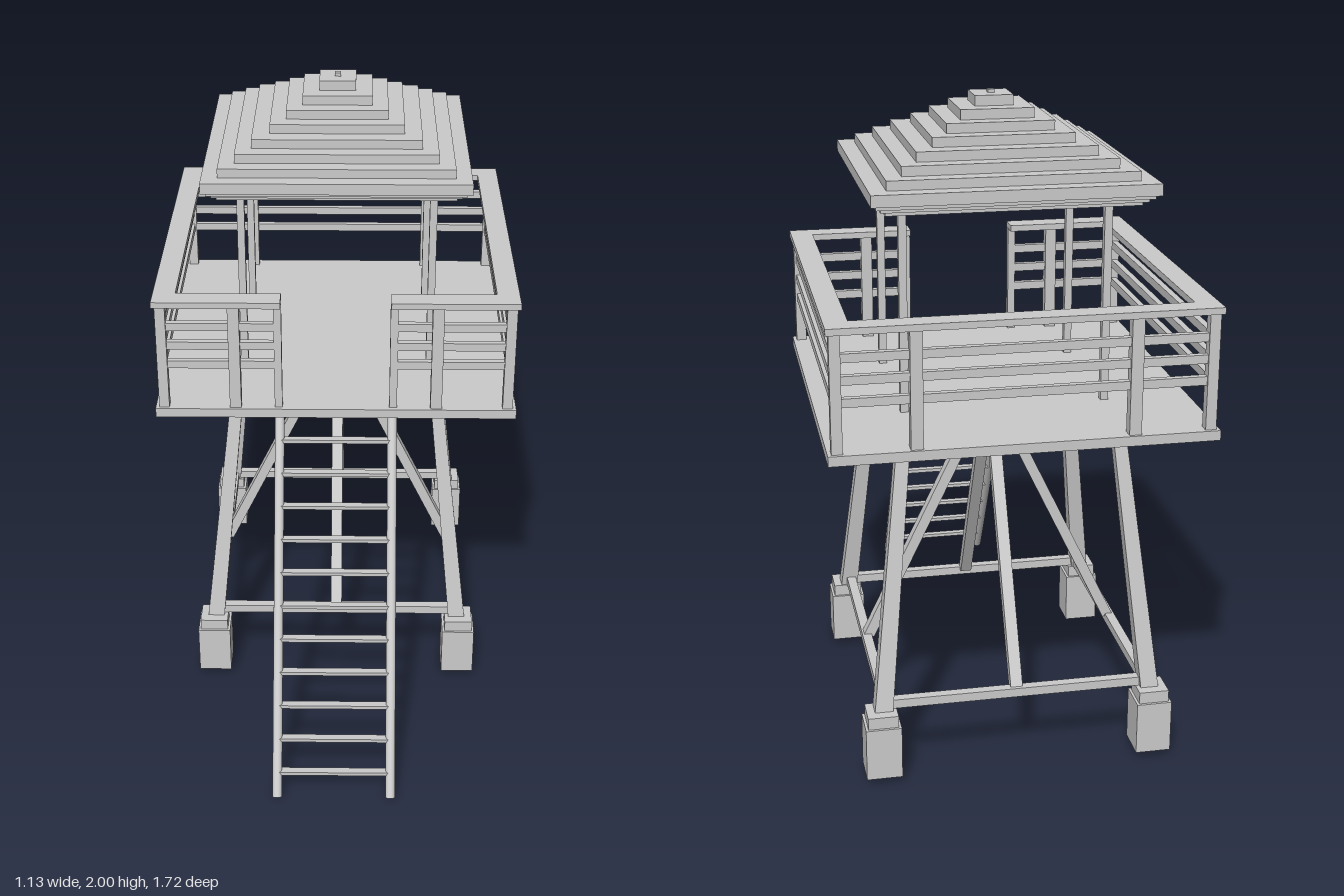
import * as THREE from 'three';

const material = new THREE.MeshStandardMaterial({ color: 0xcccccc, flatShading: true });
const smooth = new THREE.MeshStandardMaterial({ color: 0xcccccc });
const V = (x, y, z) => new THREE.Vector3(x, y, z);

function box(parent, name, x0, x1, y0, y1, z0, z1) {
  const mesh = new THREE.Mesh(new THREE.BoxGeometry(x1 - x0, y1 - y0, z1 - z0), material);
  mesh.position.set((x0 + x1) / 2, (y0 + y1) / 2, (z0 + z1) / 2);
  mesh.name = name;
  parent.add(mesh);
}

// Square slab centred on the tower axis
const slab = (parent, name, half, y0, y1) => box(parent, name, -half, half, y0, y1, -half, half);

// Upright square post
const post = (parent, name, x, z, size, y0, y1) =>
  box(parent, name, x - size / 2, x + size / 2, y0, y1, z - size / 2, z + size / 2);

// Square timber with level ends, leaning from a to b, optionally tapered
function leaningTimber(parent, name, a, b, sizeA, sizeB) {
  const geometry = new THREE.BoxGeometry(1, 1, 1);
  const p = geometry.attributes.position;
  for (let i = 0; i < p.count; i++) {
    const t = p.getY(i) + 0.5;
    const c = a.clone().lerp(b, t);
    const s = sizeA + (sizeB - sizeA) * t;
    p.setXYZ(i, c.x + p.getX(i) * s, c.y, c.z + p.getZ(i) * s);
  }
  geometry.computeVertexNormals();
  const mesh = new THREE.Mesh(geometry, material);
  mesh.name = name;
  parent.add(mesh);
}

function group(parent, name) {
  const g = new THREE.Group();
  g.name = name;
  parent.add(g);
  return g;
}

export function createModel() {
  const model = new THREE.Group();
  model.name = 'watchtower';
  const tower = group(model, 'tower');
  tower.position.z = -0.29;

  // Footings, legs and roof posts at the four corners
  const base = group(tower, 'base');
  const roof = group(tower, 'roof');
  for (const sx of [-1, 1]) for (const sz of [-1, 1]) {
    const fx = sx * 0.418, fz = sz * 0.458;
    post(base, 'footing', fx, fz, 0.108, 0.02, 0.185);
    post(base, 'footingCap', fx, fz, 0.092, 0.185, 0.222);
    leaningTimber(base, 'leg', V(sx * 0.412, 0.22, sz * 0.445), V(sx * 0.325, 1.03, sz * 0.332), 0.055, 0.04);
    post(roof, 'roofPost', sx * 0.305, sz * 0.235, 0.024, 1.08, 1.73);
  }

  // Ground beams and braces rising from their middles to the deck centre
  for (const s of [-1, 1]) {
    const bx = s * 0.405, bz = s * 0.44;
    box(base, 'beam', -0.4, 0.4, 0.222, 0.25, bz - 0.015, bz + 0.015);
    box(base, 'beam', bx - 0.015, bx + 0.015, 0.222, 0.25, -0.435, 0.435);
    leaningTimber(base, 'brace', V(s * 0.4, 0.24, 0), V(s * 0.02, 1.03, 0), 0.037, 0.037);
    leaningTimber(base, 'brace', V(0, 0.24, s * 0.43), V(0, 1.03, s * 0.02), 0.037, 0.037);
  }

  // Deck with stepped underside
  const deck = group(tower, 'deck');
  slab(deck, 'deckFloor', 0.567, 1.06, 1.09);
  [[0.5, 1.05], [0.45, 1.04], [0.41, 1.03], [0.37, 1.02]].forEach(([half, y]) =>
    slab(deck, 'deckUnderside', half, y, y + 0.01));

  // Railing: sides and back are whole, the front leaves a gap for the ladder
  const railing = group(tower, 'railing');
  const bars = [1.225, 1.29, 1.355];
  for (const s of [-1, 1]) {
    const [h0, h1] = s < 0 ? [-0.565, -0.495] : [0.495, 0.565];
    const [b0, b1] = [s * 0.54 - 0.01, s * 0.54 + 0.01];
    box(railing, 'sideHandrail', h0, h1, 1.438, 1.458, -0.565, 0.565);
    const [f0, f1] = s < 0 ? [-0.495, -0.17] : [0.17, 0.495];
    box(railing, 'frontHandrail', f0, f1, 1.438, 1.458, 0.495, 0.565);
    for (const y of bars) {
      box(railing, 'sideBar', b0, b1, y, y + 0.026, -0.54, 0.54);
      box(railing, 'frontBar', Math.min(s * 0.18, s * 0.54), Math.max(s * 0.18, s * 0.54), y, y + 0.026, 0.53, 0.55);
    }
    for (const sz of [-1, 1]) {
      post(railing, 'cornerPost', s * 0.54, sz * 0.54, 0.032, 1.09, 1.44);
      post(railing, 'middlePost', s * 0.315, sz * 0.54, 0.036, 1.09, 1.44);
    }
    post(railing, 'gatePost', s * 0.18, 0.54, 0.024, 1.09, 1.44);
  }
  box(railing, 'backHandrail', -0.495, 0.495, 1.438, 1.458, -0.565, -0.495);
  for (const y of bars) box(railing, 'backBar', -0.54, 0.54, y, y + 0.026, -0.55, -0.53);

  // Stepped pyramid roof: [half width, bottom, top]
  [
    [0.37, 1.715, 1.727], [0.385, 1.727, 1.738], [0.4, 1.738, 1.75], [0.415, 1.75, 1.785],
    [0.365, 1.785, 1.813], [0.315, 1.813, 1.842], [0.265, 1.842, 1.871], [0.21, 1.871, 1.9],
    [0.16, 1.9, 1.929], [0.11, 1.929, 1.959], [0.058, 1.959, 1.99], [0.01, 1.99, 2],
  ].forEach(([half, y0, y1]) => slab(roof, 'roofTier', half, y0, y1));

  // Leaning ladder with round rails and flat rungs
  const ladder = group(model, 'ladder');
  const foot = V(0, 0.008, 0.847), head = V(0, 1.065, 0.237);
  const direction = head.clone().sub(foot);
  for (const s of [-1, 1]) {
    const rail = new THREE.Mesh(new THREE.CylinderGeometry(0.015, 0.015, direction.length(), 16), smooth);
    rail.position.copy(foot).lerp(head, 0.5).setX(s * 0.178);
    rail.quaternion.setFromUnitVectors(V(0, 1, 0), direction.clone().normalize());
    rail.name = 'ladderRail';
    ladder.add(rail);
  }
  for (let i = 0; i < 11; i++) {
    const y = 0.077 + i * 0.0906;
    const z = foot.z + (head.z - foot.z) * (y - foot.y) / direction.y;
    box(ladder, 'rung', -0.172, 0.172, y - 0.006, y + 0.006, z - 0.012, z + 0.012);
  }
  return model;
}
